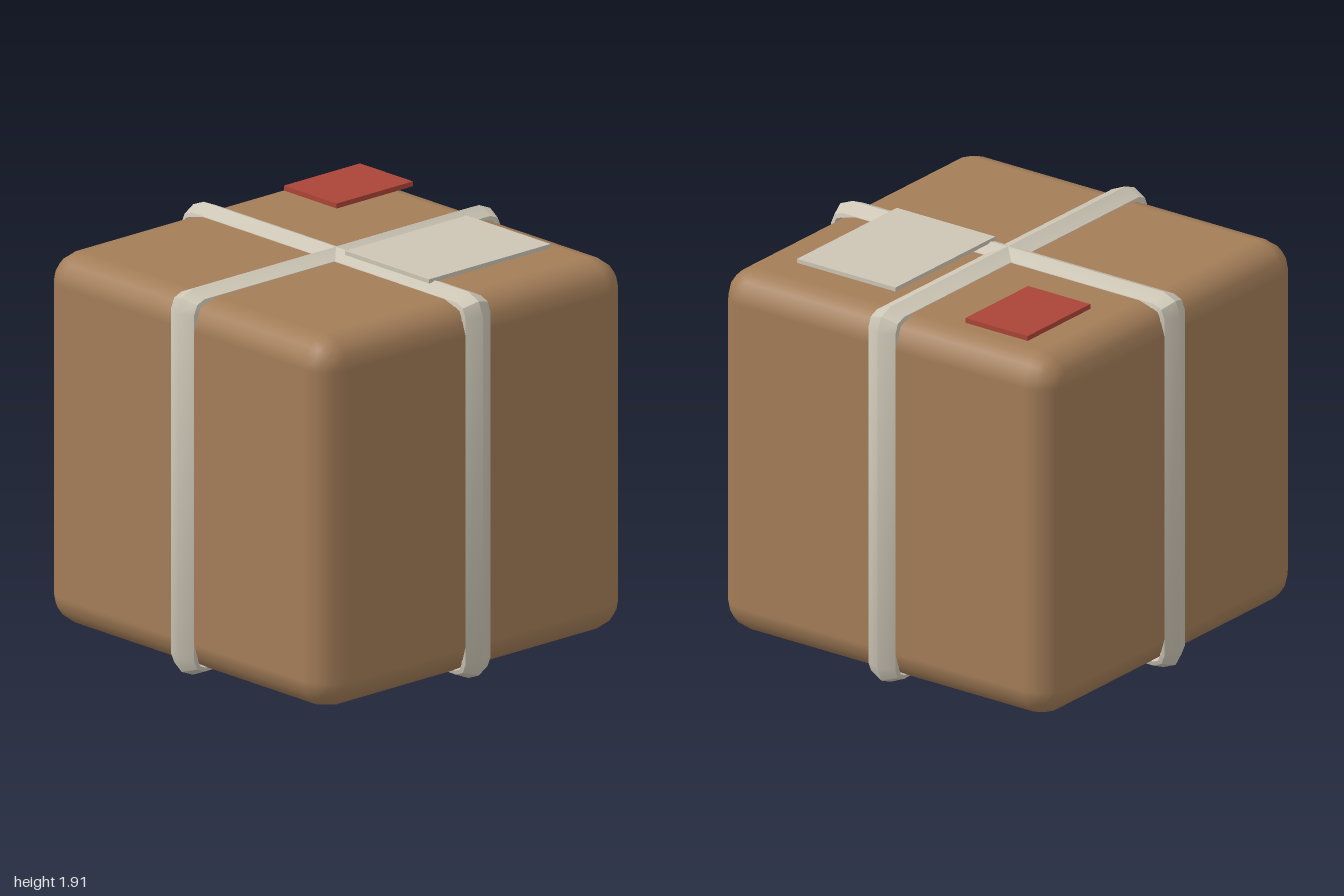
import * as THREE from 'three';
import { toCreasedNormals } from 'three/addons/utils/BufferGeometryUtils.js';
import { RoundedBoxGeometry } from 'three/addons/geometries/RoundedBoxGeometry.js';

const MID_Y = 0.94; // height of the parcel's centre

// Closed ridged band around the parcel, in the xy plane and centred on the origin
function strapGeometry() {
  const r = 0.1, halfX = 1, halfY = 0.94;
  // [sideways offset, inset from the outer ridge]
  const section = [[0, 0], [0.078, 0.034], [0.084, 0.055], [0, 0.07], [-0.084, 0.055], [-0.078, 0.034]];
  const corners = [[1, 1], [-1, 1], [-1, -1], [1, -1]];
  const pos = [], index = [];
  corners.forEach(([sx, sy], c) => {
    for (let k = 0; k < 3; k++) {
      const a = c * Math.PI / 2 + k * Math.PI / 4;
      for (const [w, inset] of section) {
        pos.push(
          sx * (halfX - r) + (r - inset) * Math.cos(a),
          sy * (halfY - r) + (r - inset) * Math.sin(a),
          w
        );
      }
    }
  });
  const n = section.length, rings = corners.length * 3;
  for (let i = 0; i < rings; i++) {
    for (let j = 0; j < n; j++) {
      const a = i * n + j, b = i * n + (j + 1) % n;
      const c = ((i + 1) % rings) * n + j, d = ((i + 1) % rings) * n + (j + 1) % n;
      index.push(a, c, b, b, c, d);
    }
  }
  const g = new THREE.BufferGeometry();
  g.setAttribute('position', new THREE.Float32BufferAttribute(pos, 3));
  g.setIndex(index);
  return toCreasedNormals(g, 0.6);
}

export function createModel() {
  const material = (name, color) => {
    const m = new THREE.MeshStandardMaterial({ color });
    m.name = name;
    return m;
  };
  const cardboard = material('cardboard brown', 0xa37d58);
  const paper = material('pale paper', 0xcdc6b6);
  const red = material('stamp red', 0xab4437);

  const group = new THREE.Group();
  group.name = 'parcel';
  const add = (name, geometry, mat, x, y, z) => {
    const mesh = new THREE.Mesh(geometry, mat);
    mesh.name = name;
    mesh.position.set(x, y, z);
    group.add(mesh);
    return mesh;
  };

  // Rounded parcel body
  add('parcelBody', new RoundedBoxGeometry(1.93, 1.806, 1.93, 2, 0.145), cardboard, 0, MID_Y, 0);

  // Two crossing straps
  const strap = strapGeometry();
  add('sideToSideStrap', strap, paper, 0, MID_Y, 0);
  add('frontToBackStrap', strap, paper, 0, MID_Y, 0).rotation.y = Math.PI / 2;

  // Label and stamp on top
  add('addressLabel', new THREE.BoxGeometry(0.765, 0.02, 0.57), paper, 0.3475, 1.882, 0.385);
  add('stamp', new THREE.BoxGeometry(0.48, 0.024, 0.36), red, 0.615, 1.896, -0.58);

  return group;
}
